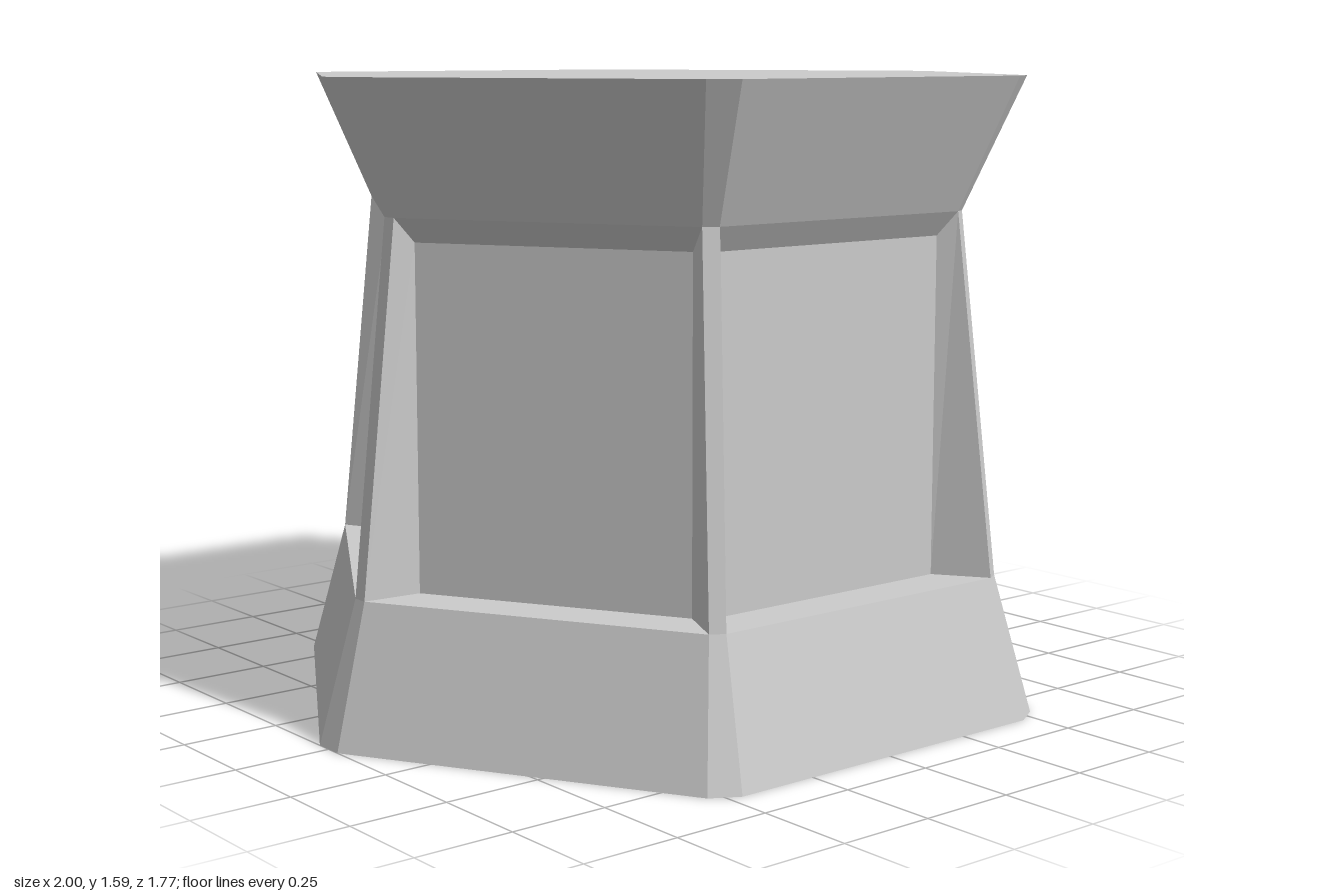
import * as THREE from 'three';

const SIDES = 6, STEP = Math.PI / 3;
const UP = new THREE.Vector3(0, 1, 0);

// Ring of a corner-cut hexagon: corner reach r, half width w of the cut corner.
// The front face gives points at height y, half width t and distance a.
function ring(y, r, w) {
  const t = r * 0.5 - w * 0.866, a = r * 0.866 + w * 0.5;
  const L = new THREE.Vector3(-t, y, a), R = new THREE.Vector3(t, y, a);
  return { y, L, R, N: L.clone().applyAxisAngle(UP, STEP) };
}

// Repeats polygons (counter-clockwise from outside) around the six sides.
function sixfold(name, polygons, material) {
  const pos = [];
  for (let k = 0; k < SIDES; k++) {
    for (const p of polygons) {
      for (let i = 1; i < p.length - 1; i++) {
        for (const v of [p[0], p[i], p[i + 1]]) {
          pos.push(...v.clone().applyAxisAngle(UP, k * STEP).toArray());
        }
      }
    }
  }
  const geo = new THREE.BufferGeometry();
  geo.setAttribute('position', new THREE.Float32BufferAttribute(pos, 3));
  geo.computeVertexNormals();
  const mesh = new THREE.Mesh(geo, material);
  mesh.name = name;
  return mesh;
}

// Face and cut corner between two rings.
const face = (lo, hi) => [lo.L, lo.R, hi.R, hi.L];
const corner = (lo, hi) => [lo.R, lo.N, hi.N, hi.R];

export function createModel() {
  const material = new THREE.MeshStandardMaterial({ color: 0xcccccc, flatShading: true });
  const group = new THREE.Group();
  group.name = 'hexagonalPedestal';

  const foot = ring(0, 1, 0.04);
  const ledge = ring(0.35, 0.905, 0.02);
  const neck = ring(1.26, 0.805, 0.02);
  const rim = ring(1.59, 0.955, 0.04);
  const bottom = new THREE.Vector3(0, 0, 0), top = new THREE.Vector3(0, rim.y, 0);

  // Recessed upright panel on each side
  const h = 0.35, d = 0.67;
  const bl = new THREE.Vector3(-h, ledge.y, d), br = new THREE.Vector3(h, ledge.y, d);
  const tl = new THREE.Vector3(-h, 1.2, d), tr = new THREE.Vector3(h, 1.2, d);

  group.add(
    // Flared base with its underside and the ledge below each panel
    sixfold('base', [
      face(foot, ledge), corner(foot, ledge),
      [bottom, foot.R, foot.L], [bottom, foot.N, foot.R],
      [ledge.L, ledge.R, br, bl],
    ], material),
    sixfold('recessedPanels', [[bl, br, tr, tl]], material),
    // Narrow corner posts with the slanted sides of the recesses
    sixfold('cornerPosts', [
      corner(ledge, neck),
      [ledge.L, bl, tl, neck.L],
      [br, ledge.R, neck.R, tr],
    ], material),
    // Outward flaring crown with slanted lintels and flat top
    sixfold('crown', [
      [tl, tr, neck.R, neck.L],
      face(neck, rim), corner(neck, rim),
      [top, rim.L, rim.R], [top, rim.R, rim.N],
    ], material),
  );
  return group;
}
